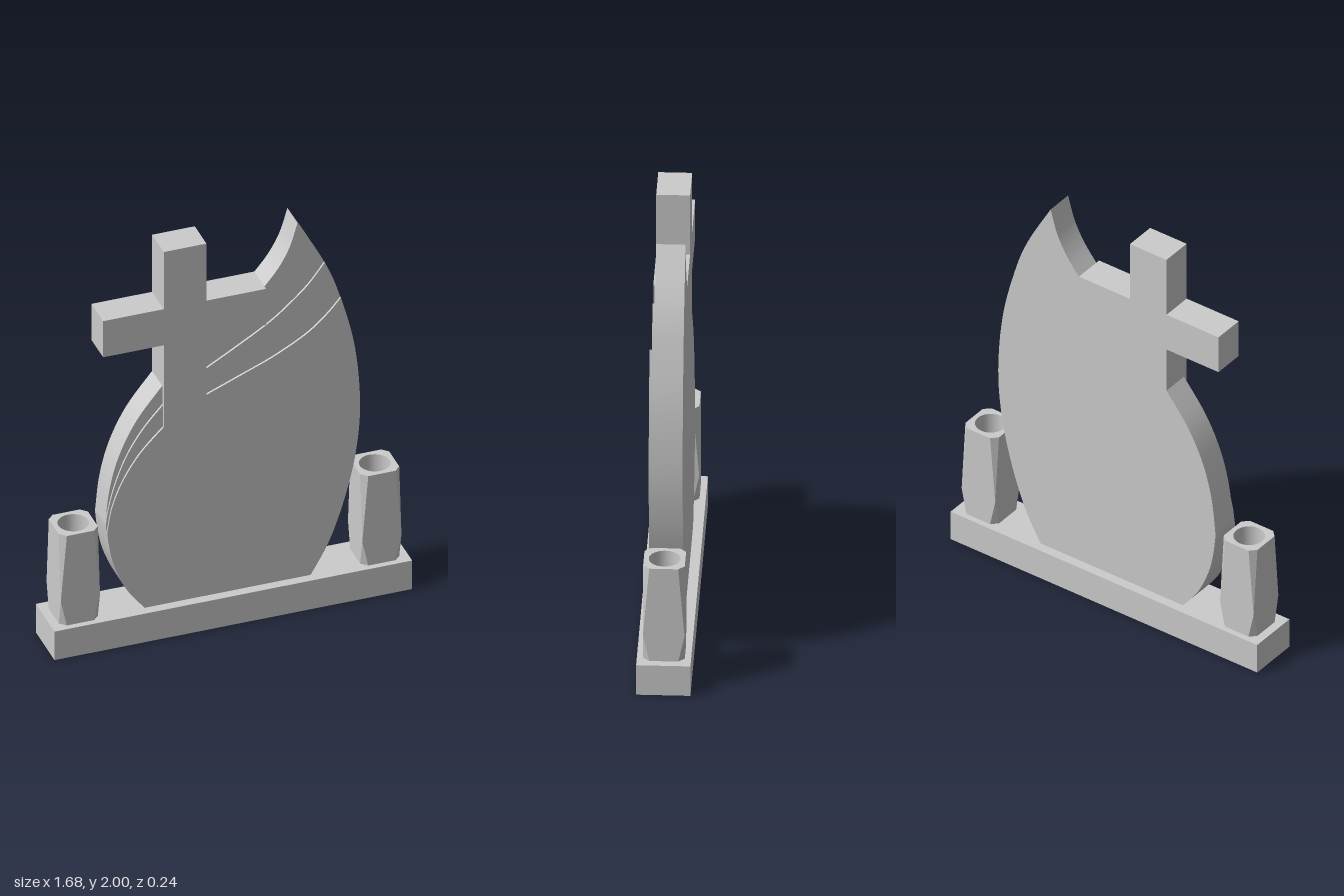
import * as THREE from 'three';
import { toCreasedNormals } from 'three/addons/utils/BufferGeometryUtils.js';

const STEPS = 6;
const material = new THREE.MeshStandardMaterial({ color: 0xcccccc });
const doubleSided = new THREE.MeshStandardMaterial({ color: 0xcccccc, side: THREE.DoubleSide });

// Smooth curve through [x, y] points
function curve(points) {
  return new THREE.SplineCurve(points.map(([x, y]) => new THREE.Vector2(x, y)))
    .getPoints((points.length - 1) * STEPS);
}

const corners = (...points) => points.map(([x, y]) => new THREE.Vector2(x, y));

function addMesh(parent, name, geometry, mat = material) {
  const mesh = new THREE.Mesh(geometry, mat);
  mesh.name = name;
  parent.add(mesh);
  return mesh;
}

// Flame-shaped headstone with a cross: three stepped layers sharing one outline
function createHeadstone() {
  const group = new THREE.Group();
  group.name = 'headstone';

  const rightSide = curve([[0.325, 2], [0.45, 1.77], [0.522, 1.575], [0.588, 1.3], [0.612, 1.0],
    [0.592, 0.75], [0.54, 0.52], [0.467, 0.31], [0.38, 0.15]]);
  const leftSide = curve([[-0.4, 0.15], [-0.485, 0.265], [-0.549, 0.42], [-0.576, 0.58],
    [-0.574, 0.66], [-0.555, 0.81], [-0.51, 0.97], [-0.43, 1.13], [-0.31, 1.285]]);

  // Cross outline from the left of the stem round to the top of the right arm
  const crossTop = corners([-0.31, 1.51], [-0.595, 1.51], [-0.595, 1.7], [-0.31, 1.7],
    [-0.31, 2], [-0.11, 2], [-0.11, 1.7], [0.17, 1.7]);
  const underArm = corners([0.17, 1.51], [-0.11, 1.51]);

  const layers = [
    { name: 'backLayer', z: -0.075, depth: 0.13, leftEnd: 8, rightStart: 0, leftEdge: [],
      rightEdge: curve([[0.17, 1.7], [0.235, 1.782], [0.288, 1.88], [0.325, 2]]) },
    { name: 'middleBand', z: 0.055, depth: 0.01, leftEnd: 4, rightStart: 1,
      leftEdge: curve([[-0.574, 0.66], [-0.541, 0.8], [-0.484, 0.95], [-0.405, 1.08], [-0.31, 1.19]]),
      rightEdge: [...underArm, ...curve([[-0.11, 1.335], [0.03, 1.415], [0.176, 1.503],
        [0.27, 1.575], [0.37, 1.668], [0.45, 1.77]])] },
    { name: 'frontLayer', z: 0.065, depth: 0.01, leftEnd: 3, rightStart: 2,
      leftEdge: curve([[-0.576, 0.58], [-0.552, 0.71], [-0.5, 0.84], [-0.42, 0.965], [-0.31, 1.08]]),
      rightEdge: [...underArm, ...curve([[-0.11, 1.205], [0.05, 1.27], [0.21, 1.337],
        [0.36, 1.42], [0.455, 1.5], [0.522, 1.575]])] },
  ];

  for (const { name, z, depth, leftEnd, rightStart, leftEdge, rightEdge } of layers) {
    const outline = [
      ...leftSide.slice(0, leftEnd * STEPS + 1),
      ...leftEdge.slice(1),
      ...crossTop,
      // The curve may begin where the cross outline ended
      ...rightEdge.filter((p) => !p.equals(crossTop[crossTop.length - 1])),
      ...rightSide.slice(rightStart * STEPS + 1),
    ];
    const geometry = new THREE.ExtrudeGeometry(new THREE.Shape(outline), { depth, bevelEnabled: false });
    geometry.translate(0, 0, z);
    addMesh(group, name, toCreasedNormals(geometry, 0.5));
  }
  return group;
}

// Square ring with its corners cut by c, running counter-clockwise in x and -z
function ring(half, c, y) {
  const inner = half - c;
  return [[half, -inner], [inner, -half], [-inner, -half], [-half, -inner],
    [-half, inner], [-inner, half], [inner, half], [half, inner]]
    .map(([x, z]) => new THREE.Vector3(x, y, z));
}

// Square vase whose corner facets taper to a point and widen again
function createVase(name, x) {
  const group = new THREE.Group();
  group.name = name;
  group.position.set(x, 0.15, 0);
  const half = 0.092, cut = 0.028, height = 0.47, radius = 0.07, bore = 0.12;

  const rings = [ring(half, cut, 0), ring(half, 0, 0.13), ring(half, cut, height)];
  const vertices = [];
  const triangle = (a, b, c) => {
    if (a.equals(b) || b.equals(c) || c.equals(a)) return;
    for (const p of [a, b, c]) vertices.push(p.x, p.y, p.z);
  };
  for (let level = 0; level < 2; level++) {
    const low = rings[level], high = rings[level + 1];
    for (let i = 0; i < 8; i++) {
      const j = (i + 1) % 8;
      triangle(low[i], low[j], high[j]);
      triangle(low[i], high[j], high[i]);
    }
  }
  const body = new THREE.BufferGeometry();
  body.setAttribute('position', new THREE.Float32BufferAttribute(vertices, 3));
  body.computeVertexNormals();
  addMesh(group, 'vaseBody', body);

  // Rim with a round opening
  const rim = new THREE.Shape(rings[2].map((p) => new THREE.Vector2(p.x, -p.z)));
  rim.holes.push(new THREE.Path().absarc(0, 0, radius, 0, Math.PI * 2, true));
  const rimGeometry = new THREE.ShapeGeometry(rim, 16);
  rimGeometry.rotateX(-Math.PI / 2);
  addMesh(group, 'vaseRim', rimGeometry).position.y = height;

  // Bore and its floor
  addMesh(group, 'vaseBore', new THREE.CylinderGeometry(radius, radius, bore, 32, 1, true), doubleSided)
    .position.y = height - bore / 2;
  const floor = addMesh(group, 'vaseFloor', new THREE.CircleGeometry(radius, 32));
  floor.rotation.x = -Math.PI / 2;
  floor.position.y = height - bore;
  return group;
}

export function createModel() {
  const model = new THREE.Group();
  model.name = 'gravestone';
  addMesh(model, 'base', new THREE.BoxGeometry(1.68, 0.15, 0.24)).position.y = 0.075;
  model.add(createHeadstone(), createVase('leftVase', 0.708), createVase('rightVase', -0.708));
  return model;
}
